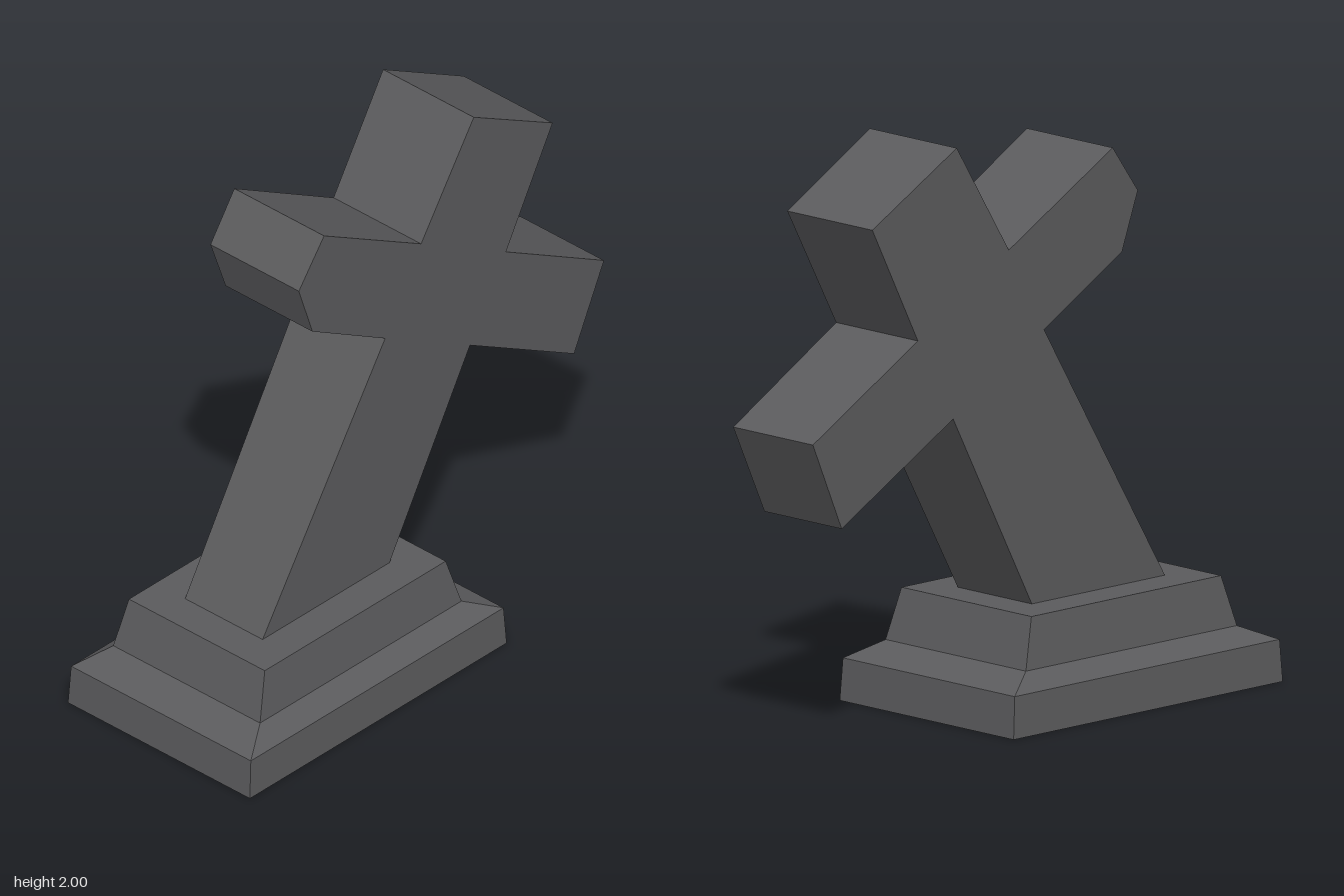
import * as THREE from 'three';

const stone = new THREE.MeshStandardMaterial({ color: 0x5b5b5d, side: THREE.DoubleSide });
stone.name = 'dark stone';

// Stepped plinth: rectangular rings joined upward, hollow and open underneath
function plinthGeometry() {
  const rings = [ // y, half width, half depth
    [0, 0.628, 0.415],
    [0.145, 0.618, 0.41],
    [0.2, 0.4925, 0.335],
    [0.375, 0.4425, 0.31],
  ];
  const corners = [[1, 1], [1, -1], [-1, -1], [-1, 1]];
  const point = (ring, i) => {
    const [y, w, d] = rings[ring];
    const [sx, sz] = corners[i % 4];
    return [sx * w, y, sz * d];
  };
  const positions = [];
  const quad = (a, b, c, d) => positions.push(...a, ...b, ...c, ...a, ...c, ...d);
  for (let r = 0; r < rings.length - 1; r++) {
    for (let i = 0; i < 4; i++) {
      quad(point(r, i), point(r, i + 1), point(r + 1, i + 1), point(r + 1, i));
    }
  }
  const top = rings.length - 1;
  quad(point(top, 0), point(top, 1), point(top, 2), point(top, 3));

  const geometry = new THREE.BufferGeometry();
  geometry.setAttribute('position', new THREE.Float32BufferAttribute(positions, 3));
  geometry.computeVertexNormals();
  return geometry;
}

// Leaning cross: an outline with one chipped arm, slightly thicker toward the top
function crossGeometry() {
  const outline = [
    [-0.2, 0.1], [0.33, 1.07], [0.845, 0.775], [0.985, 1.085],
    [0.5, 1.365], [0.72, 1.78], [0.33, 2.0], [0.08, 1.61],
    [-0.4, 1.885], [-0.52, 1.72], [-0.45, 1.52], [-0.09, 1.31],
    [-0.68, 0.36],
  ];
  const shape = new THREE.Shape(outline.map(([x, y]) => new THREE.Vector2(x, y)));
  const geometry = new THREE.ExtrudeGeometry(shape, { depth: 2, bevelEnabled: false });
  geometry.translate(0, 0, -1);
  const p = geometry.attributes.position;
  for (let i = 0; i < p.count; i++) {
    p.setZ(i, p.getZ(i) * (0.17 + 0.0185 * p.getY(i)) + 0.002);
  }
  geometry.computeVertexNormals();
  return geometry;
}

export function createModel() {
  const model = new THREE.Group();
  model.name = 'leaningCrossGravestone';

  const plinth = new THREE.Mesh(plinthGeometry(), stone);
  plinth.name = 'plinth';
  plinth.position.x = -0.358;

  const cross = new THREE.Mesh(crossGeometry(), stone);
  cross.name = 'cross';

  model.add(plinth, cross);
  return model;
}
